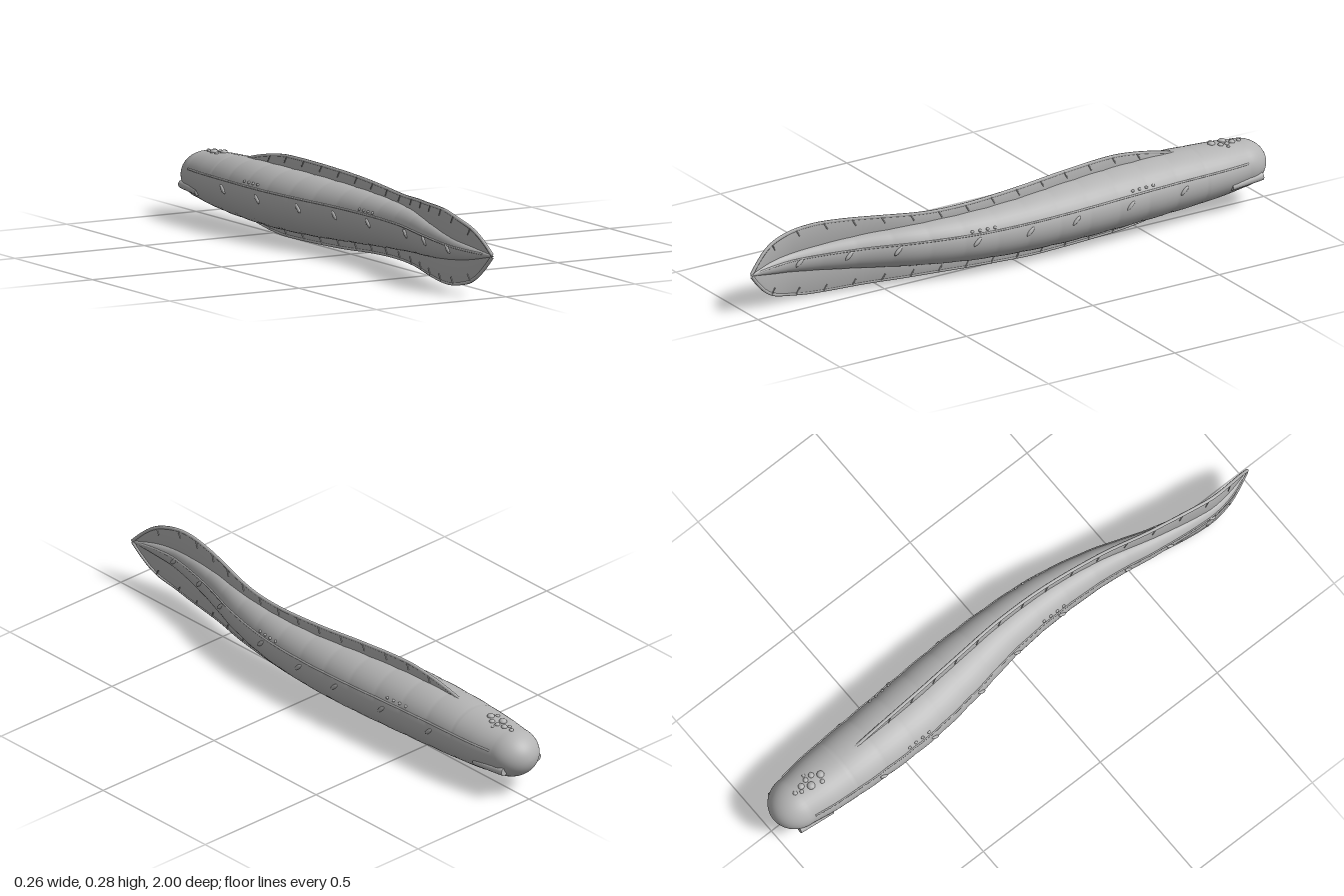
import * as THREE from 'three';

// Smooth interpolation through [z, value] pairs (z increasing)
function track(pairs) {
  const n = pairs.length;
  const slope = i => {
    const a = pairs[Math.max(0, i - 1)], b = pairs[Math.min(n - 1, i + 1)];
    return (b[1] - a[1]) / (b[0] - a[0]);
  };
  return z => {
    if (z <= pairs[0][0]) return pairs[0][1];
    if (z >= pairs[n - 1][0]) return pairs[n - 1][1];
    let i = 0;
    while (pairs[i + 1][0] < z) i++;
    const [z0, a] = pairs[i], [z1, b] = pairs[i + 1], h = z1 - z0, t = (z - z0) / h;
    const t2 = t * t, t3 = t2 * t;
    return a * (2 * t3 - 3 * t2 + 1) + h * slope(i) * (t3 - 2 * t2 + t)
      + b * (3 * t2 - 2 * t3) + h * slope(i + 1) * (t3 - t2);
  };
}

// Body centre line, half width, half height
const cx = track([[-1, -0.01], [-0.8, -0.01], [-0.6, -0.01], [-0.4, -0.004], [-0.2, 0.012], [0, 0.028],
  [0.2, 0.026], [0.4, 0], [0.6, -0.048], [0.8, -0.08], [0.9, -0.073], [1, -0.047]]);
const cy = track([[-1, 0.14], [-0.7, 0.135], [0, 0.13], [0.5, 0.138], [1, 0.14]]);
const rx = track([[-0.9, 0.092], [-0.8, 0.106], [-0.6, 0.116], [-0.4, 0.12], [-0.2, 0.112], [0, 0.094],
  [0.2, 0.08], [0.4, 0.062], [0.6, 0.043], [0.8, 0.026], [0.9, 0.017], [1, 0.001]]);
const ry = track([[-0.9, 0.082], [-0.8, 0.092], [-0.6, 0.102], [-0.4, 0.105], [-0.2, 0.102], [0, 0.094],
  [0.2, 0.084], [0.4, 0.072], [0.6, 0.057], [0.8, 0.037], [0.9, 0.023], [1, 0.001]]);
const snout = z => z > -0.9 ? 1 : Math.sqrt(Math.max(0, 1 - ((z + 0.9) / 0.1) ** 2));
// Shallow body segments behind the head
const fold = z => z < -0.72 ? 1 : 0.988 + 0.02 * Math.abs(Math.sin(Math.PI * (z + 0.72) / 0.12)) ** 0.6;

// Point on the skin; angle 0 is +x, 90 degrees is up
function skin(z, angle, lift = 0) {
  const k = snout(z) * fold(z);
  return new THREE.Vector3(cx(z) + Math.cos(angle) * (rx(z) * k + lift),
    cy(z) + Math.sin(angle) * (ry(z) * k + lift), z);
}

// Closed loft: every section has the same number of points, counter-clockwise seen from +z
function loft(sections) {
  const m = sections[0].length, pos = [], idx = [];
  sections.forEach(s => s.forEach(p => pos.push(p.x, p.y, p.z)));
  for (let i = 0; i < sections.length - 1; i++) {
    for (let j = 0; j < m; j++) {
      const a = i * m + j, b = i * m + (j + 1) % m, c = a + m, d = b + m;
      idx.push(a, b, d, a, d, c);
    }
  }
  const g = new THREE.BufferGeometry();
  g.setAttribute('position', new THREE.Float32BufferAttribute(pos, 3));
  g.setIndex(idx);
  g.computeVertexNormals();
  return g;
}

export function createModel() {
  const model = new THREE.Group();
  const gray = new THREE.MeshStandardMaterial({ color: 0xb4b4b4 });
  gray.name = 'plain gray';
  const add = (name, geometry) => {
    const mesh = new THREE.Mesh(geometry, gray);
    mesh.name = name;
    model.add(mesh);
    return mesh;
  };
  const rod = (name, points, radius, steps = 120) =>
    add(name, new THREE.TubeGeometry(new THREE.CatmullRomCurve3(points), steps, radius, 6));
  const bump = (name, p, sx, sy, sz) => {
    const mesh = add(name, new THREE.SphereGeometry(1, 12, 8));
    mesh.position.copy(p);
    mesh.scale.set(sx, sy, sz);
    return mesh;
  };

  // Body, with denser sections round the snout
  const zs = [];
  for (let i = 0; i <= 16; i++) zs.push(-0.9 - 0.1 * Math.cos(i / 16 * Math.PI / 2));
  for (let i = 1; i <= 316; i++) zs.push(-0.9 + i * 1.9 / 316);
  add('body', loft(zs.map(z => Array.from({ length: 40 }, (_, j) => skin(z, j / 40 * Math.PI * 2)))));

  // Upper and lower fins with a thicker rim and short rays
  const fins = [
    ['upperFin', 1, track([[-0.68, 0.222], [-0.6, 0.243], [-0.5, 0.262], [-0.4, 0.272], [-0.2, 0.268], [0, 0.257],
      [0.3, 0.241], [0.5, 0.25], [0.7, 0.258], [0.8, 0.249], [0.9, 0.222], [0.95, 0.188], [0.995, 0.142]])],
    ['lowerFin', -1, track([[-0.68, 0.046], [-0.6, 0.03], [-0.5, 0.014], [-0.4, 0.006], [-0.1, 0.008], [0.1, 0.019],
      [0.3, 0.026], [0.5, 0.024], [0.7, 0.017], [0.8, 0.022], [0.9, 0.045], [0.95, 0.085], [0.995, 0.138]])],
  ];
  for (const [name, side, edge] of fins) {
    const sections = [], rim = [];
    for (let i = 0; i <= 100; i++) {
      const z = -0.68 + i * 1.675 / 100, x = cx(z), e = edge(z), base = cy(z) + side * ry(z) * 0.6;
      const lo = Math.min(e, base), hi = Math.max(e, base), w = side > 0 ? [0.009, 0.004] : [0.004, 0.009];
      const taper = Math.min(1, (1 - z) / 0.2);
      sections.push([[w[0], lo], [w[1], hi], [-w[1], hi], [-w[0], lo]]
        .map(([dx, y]) => new THREE.Vector3(x + dx * taper, y, z)));
      if (i % 2 === 0) rim.push(new THREE.Vector3(x, e, z));
    }
    add(name, loft(sections));
    rod(name + 'Rim', rim, 0.006, 160);
    for (let z = -0.5; z < 0.9; z += 0.1) {
      for (const s of [1, -1]) {
        rod(name + 'Ray', [new THREE.Vector3(cx(z) + s * 0.005, edge(z), z),
          new THREE.Vector3(cx(z - 0.012) + s * 0.007, edge(z) - side * 0.022, z - 0.012)], 0.002, 2);
      }
    }
  }

  // Side details, mirrored across the body
  for (const s of [1, -1]) {
    const at = (z, a, lift) => skin(z, s > 0 ? a : Math.PI - a, lift);
    const line = [];
    for (let i = 0; i <= 60; i++) line.push(at(-0.89 + i * 1.85 / 60, 0.36, 0));
    rod('lateralLine', line, 0.0035, 180);

    // Slanted oval pores below the line
    for (const z of [-0.62, -0.4, -0.18, 0, 0.2, 0.47, 0.63, 0.8]) {
      const pore = bump('sidePore', at(z, 0.06), 0.006, 0.007, 0.02);
      pore.rotation.x = 0.75;
    }
    // Rows of tiny dots above the line
    for (const start of [-0.5, 0.13]) {
      for (let k = 0; k < 4; k++) bump('sideDot', at(start + k * 0.028, 0.5), 0.005, 0.005, 0.006);
    }
    // Mouth flap low on each side of the head
    const flap = add('mouthFlap', new THREE.CylinderGeometry(0.015, 0.013, 0.13, 14));
    const a = new THREE.Vector3(-0.01 + s * 0.088, 0.1, -0.82), b = new THREE.Vector3(-0.01 + s * 0.074, 0.107, -0.95);
    flap.position.copy(a).add(b).multiplyScalar(0.5);
    flap.quaternion.setFromUnitVectors(new THREE.Vector3(0, 1, 0), b.clone().sub(a).normalize());
  }

  // Cluster of crown bumps: x, z, radius
  for (const [x, z, r] of [[-0.012, -0.8, 0.013], [-0.034, -0.81, 0.008], [0.006, -0.825, 0.01], [-0.022, -0.848, 0.014],
    [0.005, -0.85, 0.009], [0.022, -0.845, 0.006], [-0.003, -0.875, 0.011], [-0.018, -0.885, 0.007], [-0.008, -0.905, 0.008]]) {
    const p = skin(z, Math.acos((x - cx(z)) / rx(z)));
    bump('crownBump', p, r, r * 0.7, r);
  }
  return model;
}
